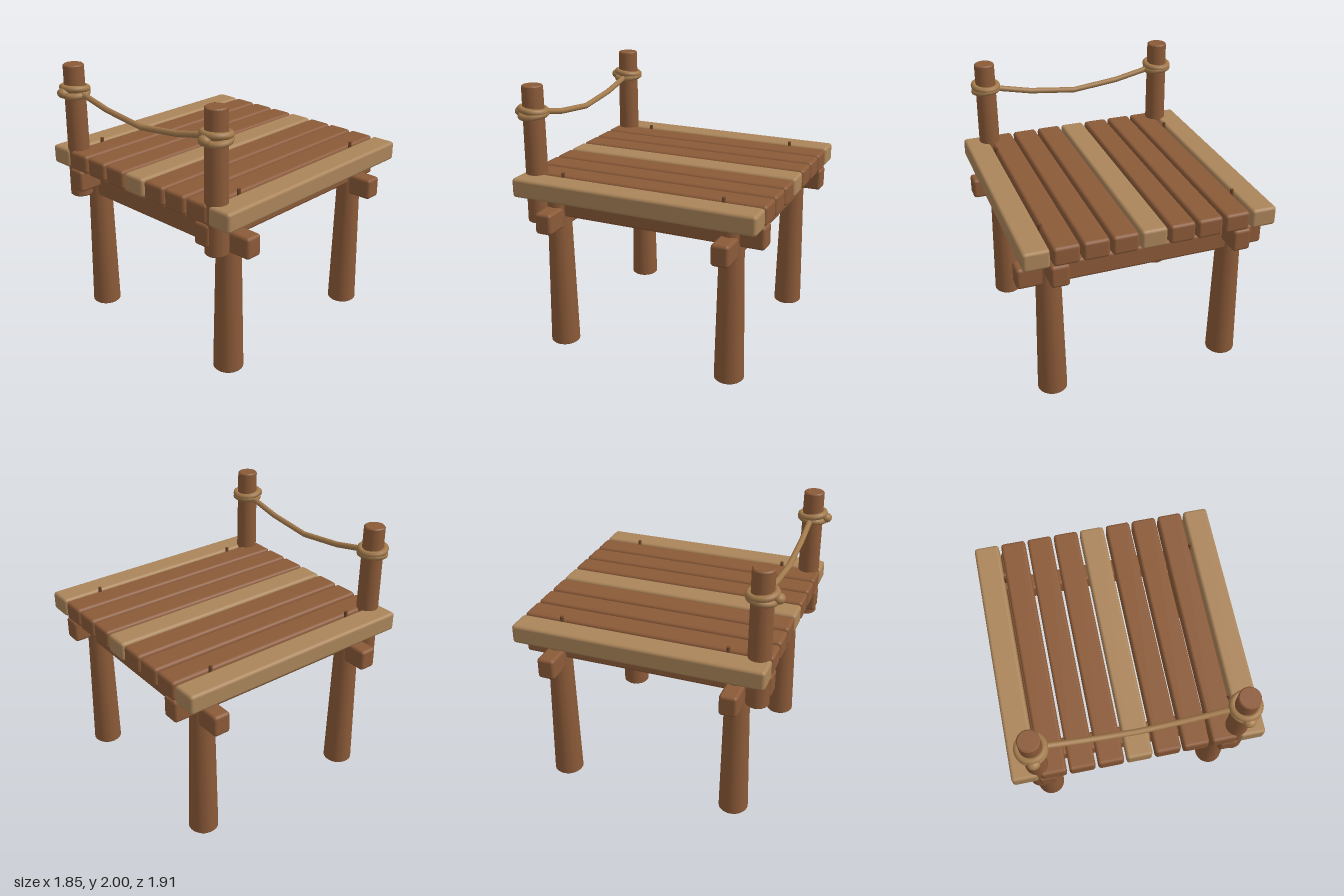
import * as THREE from 'three';
import { toCreasedNormals } from 'three/addons/utils/BufferGeometryUtils.js';
import { RoundedBoxGeometry } from 'three/addons/geometries/RoundedBoxGeometry.js';

const material = (name, color) => {
  const m = new THREE.MeshStandardMaterial({ color });
  m.name = name;
  return m;
};

export function createModel() {
  const darkWood = material('darkWood', 0x8b5a38);
  const lightWood = material('lightWood', 0xab855a);
  const ropeFibre = material('ropeFibre', 0xa27a4c);
  const nailBrown = material('nailBrown', 0x6e4428);

  const model = new THREE.Group();
  model.name = 'woodenDock';

  const add = (name, geometry, mat, x = 0, y = 0, z = 0) => {
    const mesh = new THREE.Mesh(geometry, mat);
    mesh.name = name;
    mesh.position.set(x, y, z);
    model.add(mesh);
    return mesh;
  };
  const timber = (w, h, d) => new RoundedBoxGeometry(w, h, d, 2, 0.024);

  // Tapered round log with a small chamfer at both ends
  const log = (r0, r1, y0, y1, c = 0.008) => {
    const profile = [[0, y0], [r0 - c, y0], [r0, y0 + c], [r1, y1 - c], [r1 - c, y1], [0, y1]];
    const lathe = new THREE.LatheGeometry(profile.map(([r, y]) => new THREE.Vector2(r, y)), 24);
    return toCreasedNormals(lathe, 0.6);
  };

  // Deck planks: outer pair and the middle one are lighter
  for (let i = 0; i < 9; i++) {
    add('deckPlank', timber(0.188, 0.143, 1.855), i % 4 === 0 ? lightWood : darkWood,
      (i - 4) * 0.2065, 1.279, -0.026);
  }

  // Cross beams at front and back
  for (const z of [0.655, -0.705]) {
    add('crossBeam', timber(1.85, 0.16, 0.132), darkWood, 0, 1.035, z);
  }

  for (const side of [-1, 1]) {
    // Long beams under the planks
    add('longBeam', timber(0.135, 0.17, 1.855), darkWood, side * 0.667, 1.125, -0.026);

    // Legs and the nail heads above them
    for (const z of [0.655, -0.705]) {
      add('leg', log(0.109, 0.084, 0, 1.21), darkWood, side * 0.688, 0, z);
    }
    for (const z of [0.59, -0.652]) {
      add('nail', new THREE.CylinderGeometry(0.013, 0.013, 0.08, 10), nailBrown, side * 0.719, 1.335, z);
    }

    // Front post
    const px = side * 0.724, pz = 0.808;
    add('post', log(0.083, 0.077, 0.98, 2), darkWood, px, 0, pz);

    // Rope wound twice around the post, tilted slightly, with a knot in front
    [[1.822, -0.12, 0.04], [1.785, 0.1, -0.06]].forEach(([y, tiltX, tiltZ]) => {
      const ring = add('ropeCoil', new THREE.TorusGeometry(0.091, 0.024, 10, 28), ropeFibre, px, y, pz);
      ring.rotation.set(Math.PI / 2 + tiltX, tiltZ, 0);
    });
    const knot = add('ropeKnot', new THREE.SphereGeometry(0.045, 16, 12), ropeFibre, px, 1.8, 0.917);
    knot.scale.set(1, 0.82, 0.88);
  }

  // Sagging rope between the posts
  const sag = [[-0.72, 1.806], [-0.365, 1.728], [0, 1.687], [0.365, 1.728], [0.72, 1.806]];
  const path = new THREE.CurvePath();
  for (let i = 0; i < sag.length - 1; i++) {
    path.add(new THREE.LineCurve3(
      new THREE.Vector3(...sag[i], 0.806), new THREE.Vector3(...sag[i + 1], 0.806)));
  }
  add('ropeRail', new THREE.TubeGeometry(path, 4, 0.022, 10), ropeFibre);

  return model;
}
